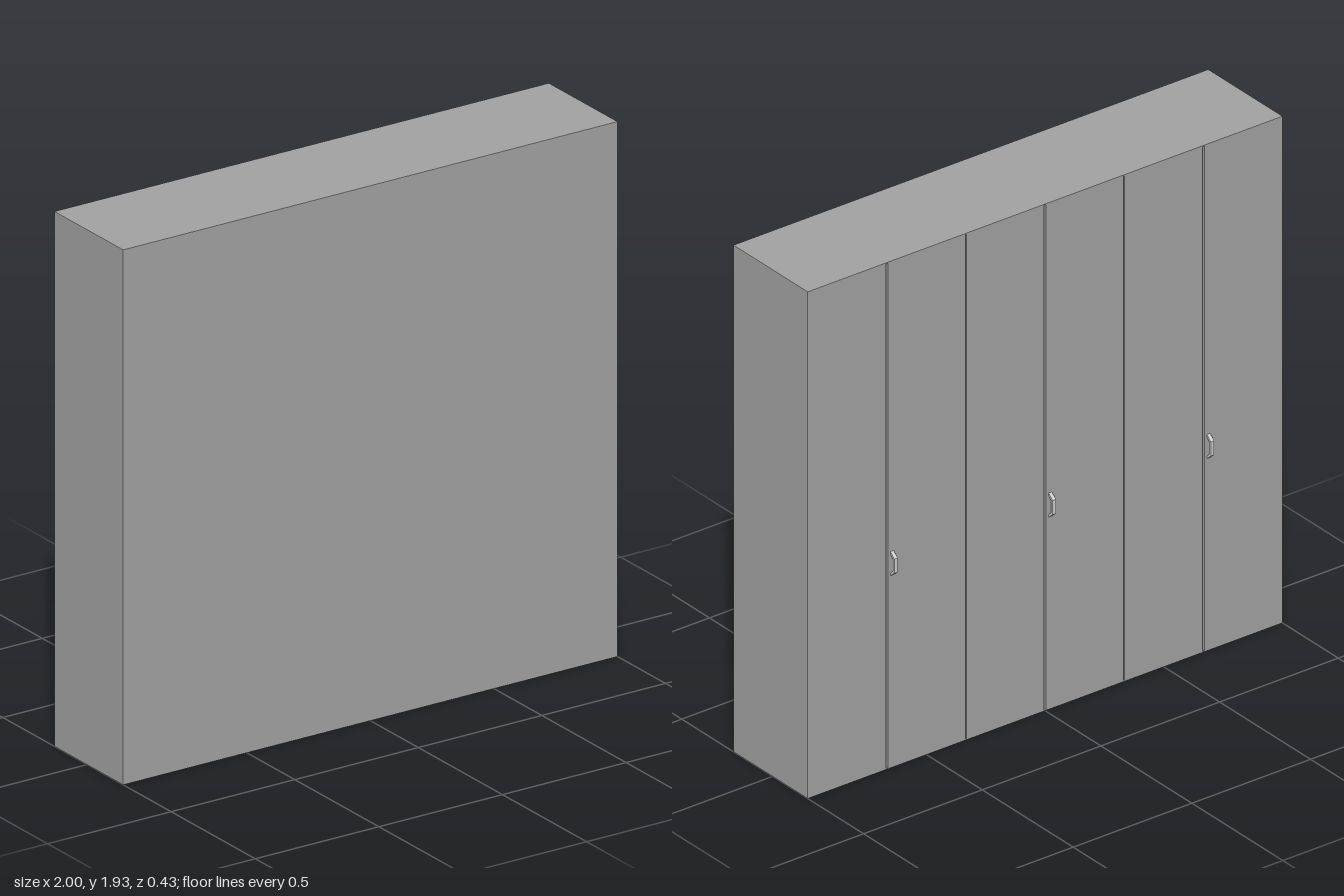
import * as THREE from 'three';

const W = 2, H = 1.935, FRONT = 0.215, BACK = -0.193, DOOR = 0.012, CAP = 0.004;

export function createModel() {
  const group = new THREE.Group();
  const bodyMat = new THREE.MeshStandardMaterial({ color: 0xa0a0a0 });
  const handleMat = new THREE.MeshStandardMaterial({ color: 0xcccccc });

  const box = (name, [x0, x1], [y0, y1], [z0, z1]) => {
    const m = new THREE.Mesh(new THREE.BoxGeometry(x1 - x0, y1 - y0, z1 - z0), bodyMat);
    m.position.set((x0 + x1) / 2, (y0 + y1) / 2, (z0 + z1) / 2);
    m.name = name;
    group.add(m);
  };

  // Wardrobe carcass with thin top and bottom panels that cover the door ends
  const across = [-W / 2, W / 2], inner = [CAP, H - CAP];
  box('carcass', across, inner, [BACK + DOOR, FRONT]);
  box('topPanel', across, [H - CAP, H], [BACK, FRONT]);
  box('bottomPanel', across, [0, CAP], [BACK, FRONT]);

  // Six doors in three pairs; the seams beside the handles are wider
  const count = 6, pitch = W / count;
  const seam = (i) => (i === 0 || i === count ? 0 : i % 2 ? 0.004 : 0.002);
  for (let i = 0; i < count; i++) {
    const x = -W / 2 + i * pitch;
    box('door' + (i + 1), [x + seam(i), x + pitch - seam(i + 1)], inner, [BACK, BACK + DOOR]);
  }

  // Bracket handles: an open trapezoid bar (distance out from the door, height)
  const out = 0.022, width = 0.014;
  const profile = new THREE.Shape([
    [0, -0.046], [out, -0.027], [out, 0.027], [0, 0.046],
    [0, 0.036], [out - 0.008, 0.022], [out - 0.008, -0.022], [0, -0.036],
  ].map(([d, y]) => new THREE.Vector2(d, y)));
  const handleGeo = new THREE.ExtrudeGeometry(profile, { depth: width, bevelEnabled: false });
  handleGeo.translate(0, 0, -width / 2);
  handleGeo.rotateY(Math.PI / 2);
  [-2, 0, 2].forEach((k, i) => {
    const handle = new THREE.Mesh(handleGeo, handleMat);
    handle.name = 'handle' + (i + 1);
    handle.position.set(k * pitch - 0.022, 0.78, BACK);
    group.add(handle);
  });

  return group;
}
